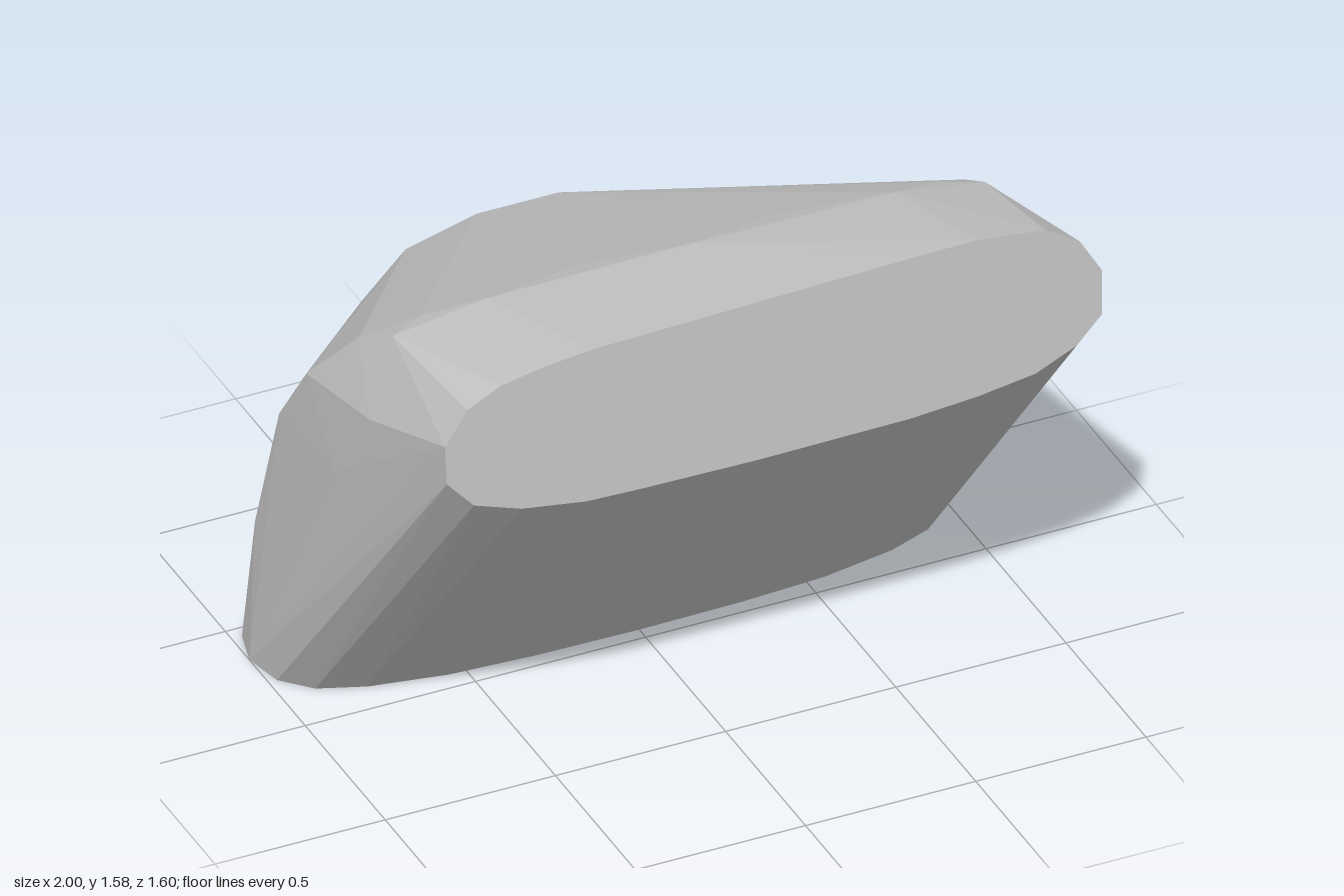
import * as THREE from 'three';
import { ConvexGeometry } from 'three/addons/geometries/ConvexGeometry.js';

export function createModel() {
  const group = new THREE.Group();
  const grey = new THREE.MeshStandardMaterial({ color: 0xcccccc });
  grey.name = 'light grey';

  // Flat front face at z = 0.8, slightly lopsided rounded slot (x, y)
  const front = [
    [-0.96, 1.24], [-0.965, 1.36], [-0.9, 1.46], [-0.8, 1.51], [-0.67, 1.535],
    [-0.53, 1.55], [0, 1.565], [0.45, 1.578], [0.6, 1.58], [0.8, 1.555], [0.9, 1.49],
    [0.965, 1.38], [0.965, 1.24], [0.89, 1.16], [0.77, 1.105], [0.6, 1.08],
    [0.4, 1.065], [-0.05, 1.06], [-0.4, 1.065], [-0.55, 1.07], [-0.74, 1.1], [-0.88, 1.15],
  ].map(([x, y]) => [x, y, 0.8]);

  // Half outline of the flat base at y = 0 (x, z)
  const base = [
    [0.61, -0.8], [0.9, -0.54], [0.97, -0.46], [1, -0.35], [0.975, -0.23],
    [0.9, -0.15], [0.77, -0.1], [0.55, -0.06], [0.3, -0.045], [0, -0.04],
  ].map(([x, z]) => [x, 0, z]);

  // Half outline of the arched rear face at z = -0.8 (x, y)
  const rear = [[0.545, 0.45], [0.46, 0.72], [0.33, 0.85], [0.12, 0.905]]
    .map(([x, y]) => [x, y, -0.8]);

  // Shoulder and crown points between the flat faces
  const shoulder = [
    [0.96, 0.4, -0.4], [0.95, 0.82, -0.27], [0.95, 1.05, -0.1], [0.89, 1.27, 0.1],
    [0.87, 1.37, 0.27], [0.985, 0.9, 0.15], [0.975, 1.18, 0.35],
    [0.76, 1.36, 0.2], [0.6, 1.42, 0.28], [0.3, 1.39, 0.2], [0, 1.44, 0.3],
  ];

  const mirrored = [...base, ...rear, ...shoulder]
    .flatMap(([x, y, z]) => [[x, y, z], [-x, y, z]]);
  const points = [...front, ...mirrored].map((p) => new THREE.Vector3(...p));

  // One faceted convex shell wraps all the outlines
  const body = new THREE.Mesh(new ConvexGeometry(points), grey);
  body.name = 'body';
  group.add(body);
  return group;
}
